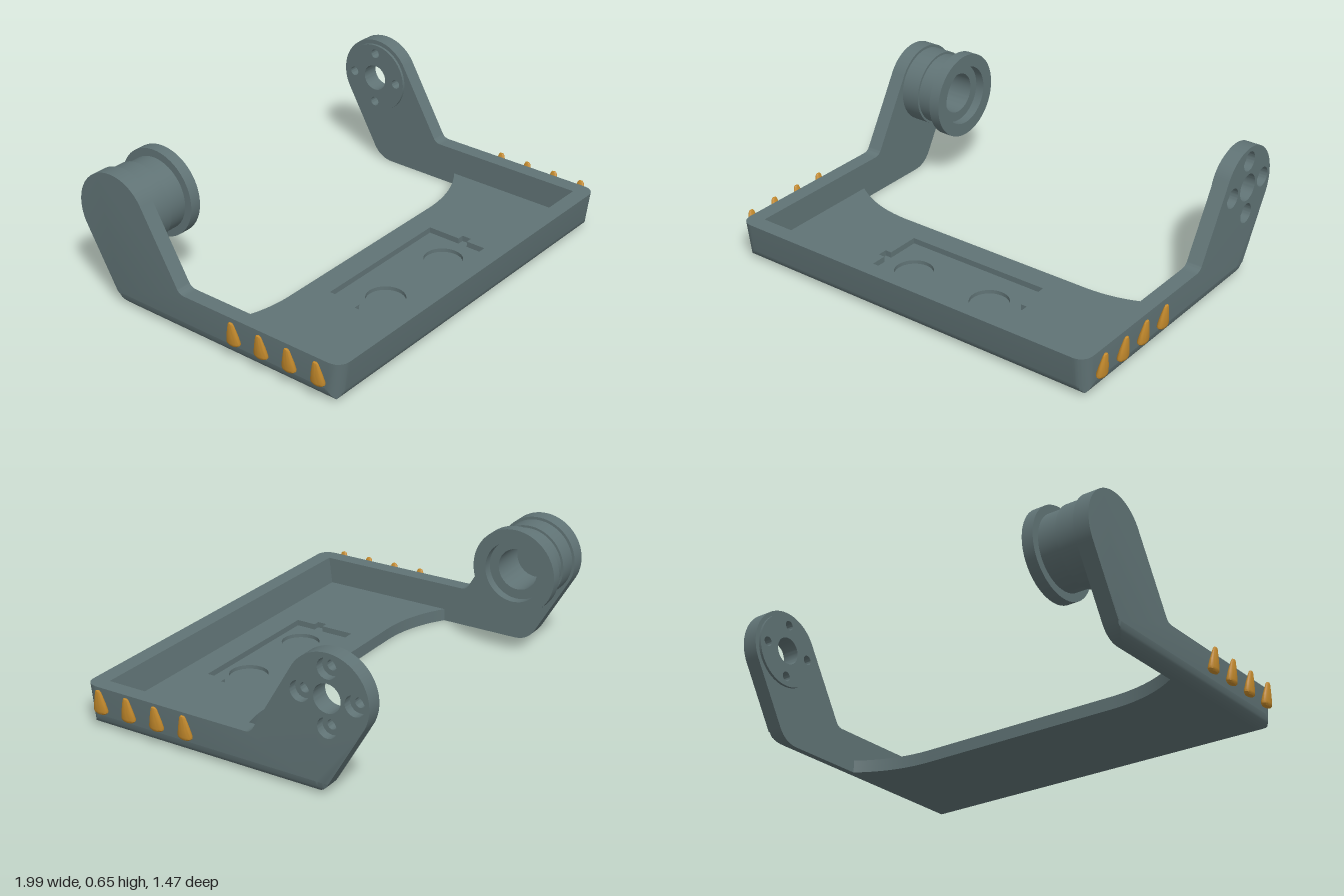
import * as THREE from 'three';
import { toCreasedNormals } from 'three/addons/utils/BufferGeometryUtils.js';

const HALF = 0.955;       // outer half width
const INNER = 0.88;       // inner face of the arms
const RIM = 0.192;        // tray rim height
const FLOOR = 0.06;       // floor thickness
const ROUND = 0.06;       // rounding of the outer edges
const PIVOT = { z: -0.525, y: 0.445, r: 0.197 };

// Outline of a side arm in the (z, y) plane
function armShape() {
  const s = new THREE.Shape();
  s.moveTo(0.733, RIM);
  s.lineTo(-0.12, RIM);
  s.quadraticCurveTo(-0.148, RIM, -0.161, 0.214);
  s.absarc(PIVOT.z, PIVOT.y, PIVOT.r, Math.PI / 6, Math.PI * 7 / 6, false);
  s.lineTo(-0.532, 0.065);
  s.quadraticCurveTo(-0.495, 0, -0.42, 0);
  s.lineTo(0.65, 0);
  s.quadraticCurveTo(0.708, 0, 0.716, 0.06);
  s.closePath();
  return s;
}

function addHole(shape, x, y, r) {
  shape.holes.push(new THREE.Path().absarc(x, y, r, 0, Math.PI * 2, true));
}

// Centre bore and four screw holes around the pivot
function addPivotHoles(shape, screwRadius) {
  addHole(shape, PIVOT.z, PIVOT.y, 0.065);
  for (let i = 0; i < 4; i++) {
    const a = i * Math.PI / 2;
    addHole(shape, PIVOT.z + 0.13 * Math.cos(a), PIVOT.y + 0.13 * Math.sin(a), screwRadius);
  }
  return shape;
}

// Extrude a (z, y) shape along x from xa to xb
function extrudeX(shape, xa, xb, steps = 1) {
  const g = new THREE.ExtrudeGeometry(shape, { depth: xb - xa, steps, bevelEnabled: false, curveSegments: 24 });
  g.rotateY(-Math.PI / 2);
  g.translate(xb, 0, 0);
  return g;
}

// Pull the outer bottom and front edges inwards to a rounded edge
function roundOuterEdges(g) {
  const p = g.attributes.position;
  for (let i = 0; i < p.count; i++) {
    const d = Math.min(ROUND, Math.max(0, Math.abs(p.getX(i)) - (HALF - ROUND)));
    const inset = ROUND - Math.sqrt(ROUND * ROUND - d * d);
    const y = Math.max(p.getY(i), inset);
    const front = 0.733 - (RIM - y) * 0.129;
    p.setY(i, y);
    p.setZ(i, Math.min(p.getZ(i), front - inset));
  }
  return g;
}

// Extrude an (x, z) shape downwards from top to bottom
function slab(shape, bottom, top) {
  const g = new THREE.ExtrudeGeometry(shape, { depth: top - bottom, bevelEnabled: false, curveSegments: 32 });
  g.rotateX(Math.PI / 2);
  g.translate(0, top, 0);
  return g;
}

// Floor outline with the scooped back edge
function floorShape() {
  const s = new THREE.Shape();
  s.moveTo(-INNER, -0.03);
  s.quadraticCurveTo(-0.72, 0.08, -0.52, 0.083);
  s.lineTo(0.52, 0.083);
  s.quadraticCurveTo(0.72, 0.08, INNER, -0.03);
  s.lineTo(INNER, 0.61);
  s.lineTo(-INNER, 0.61);
  s.closePath();
  return s;
}

export function createModel() {
  const model = new THREE.Group();
  const slate = new THREE.MeshStandardMaterial({ color: 0x607375 });
  slate.name = 'slate';
  const gold = new THREE.MeshStandardMaterial({ color: 0xc48a2c });
  gold.name = 'gold';

  const add = (name, geometry, material = slate) => {
    const m = new THREE.Mesh(toCreasedNormals(geometry, 0.5), material);
    m.name = name;
    model.add(m);
    return m;
  };

  // Side arms; the left one has counterbored screw holes
  const step = 0.915;
  add('rightArm', roundOuterEdges(extrudeX(armShape(), -HALF, -INNER, 15)));
  add('leftArmInner', roundOuterEdges(extrudeX(addPivotHoles(armShape(), 0.023), INNER, step, 7)));
  add('leftArmOuter', roundOuterEdges(extrudeX(addPivotHoles(armShape(), 0.047), step, HALF, 8)));

  // Thin round pad on the inside of the left arm
  const pad = new THREE.Shape().absarc(PIVOT.z, PIVOT.y, 0.176, 0, Math.PI * 2, false);
  add('leftPivotPad', extrudeX(addPivotHoles(pad, 0.023), 0.867, INNER));

  // Front wall, leaning slightly forwards
  const wall = new THREE.Shape();
  wall.moveTo(0.733, RIM);
  wall.lineTo(0.655, RIM);
  wall.lineTo(0.637, FLOOR);
  wall.lineTo(0.61, FLOOR);
  wall.lineTo(0.61, 0);
  wall.lineTo(0.65, 0);
  wall.quadraticCurveTo(0.708, 0, 0.716, 0.06);
  wall.closePath();
  add('frontWall', extrudeX(wall, -INNER, INNER));

  // Floor in three layers: solid base, round sockets, tabbed pocket
  const sockets = floorShape();
  for (const x of [-0.217, 0.213]) addHole(sockets, x, 0.39, 0.091);
  const pocket = floorShape();
  const half = [[0.37, 0.2], [0.37, 0.365], [0.402, 0.365], [0.402, 0.412], [0.37, 0.412], [0.37, 0.51]];
  const outline = [...half, ...half.map(([x, z]) => [-x, z]).reverse()];
  pocket.holes.push(new THREE.Path(outline.map(([x, z]) => new THREE.Vector2(x - 0.003, z))));
  add('floorBase', slab(floorShape(), 0, 0.014));
  add('floorSockets', slab(sockets, 0.014, 0.032));
  add('floorPocket', slab(pocket, 0.032, FLOOR));

  // Stepped barrel with an open bore on the right arm
  const profile = [
    [0.184, 0], [0.184, 0.095], [0.173, 0.095], [0.173, 0.19], [0.21, 0.19], [0.21, 0.245],
    [0.147, 0.245], [0.147, 0.2], [0.1, 0.2], [0.1, 0.01], [0, 0.01],
  ].map(([r, h]) => new THREE.Vector2(r, h));
  const barrel = new THREE.LatheGeometry(profile, 64);
  barrel.rotateZ(-Math.PI / 2);
  barrel.translate(-INNER, PIVOT.y, PIVOT.z);
  add('pivotBarrel', barrel);

  // Flattened spikes along both sides
  const spikeProfile = [
    [0, 0], [0.028, 0.003], [0.036, 0.011], [0.037, 0.02], [0.03, 0.055],
    [0.016, 0.108], [0.011, 0.116], [0, 0.119],
  ].map(([r, h]) => new THREE.Vector2(r, h));
  for (const side of [-1, 1]) {
    for (let i = 0; i < 4; i++) {
      const g = new THREE.LatheGeometry(spikeProfile, 24);
      g.scale(0.52, 1, 1);
      g.rotateZ(-side * 0.15);
      g.translate(side * 0.971, 0.08, 0.175 + i * 0.152);
      add(side > 0 ? 'leftSpike' : 'rightSpike', g, gold);
    }
  }
  return model;
}
